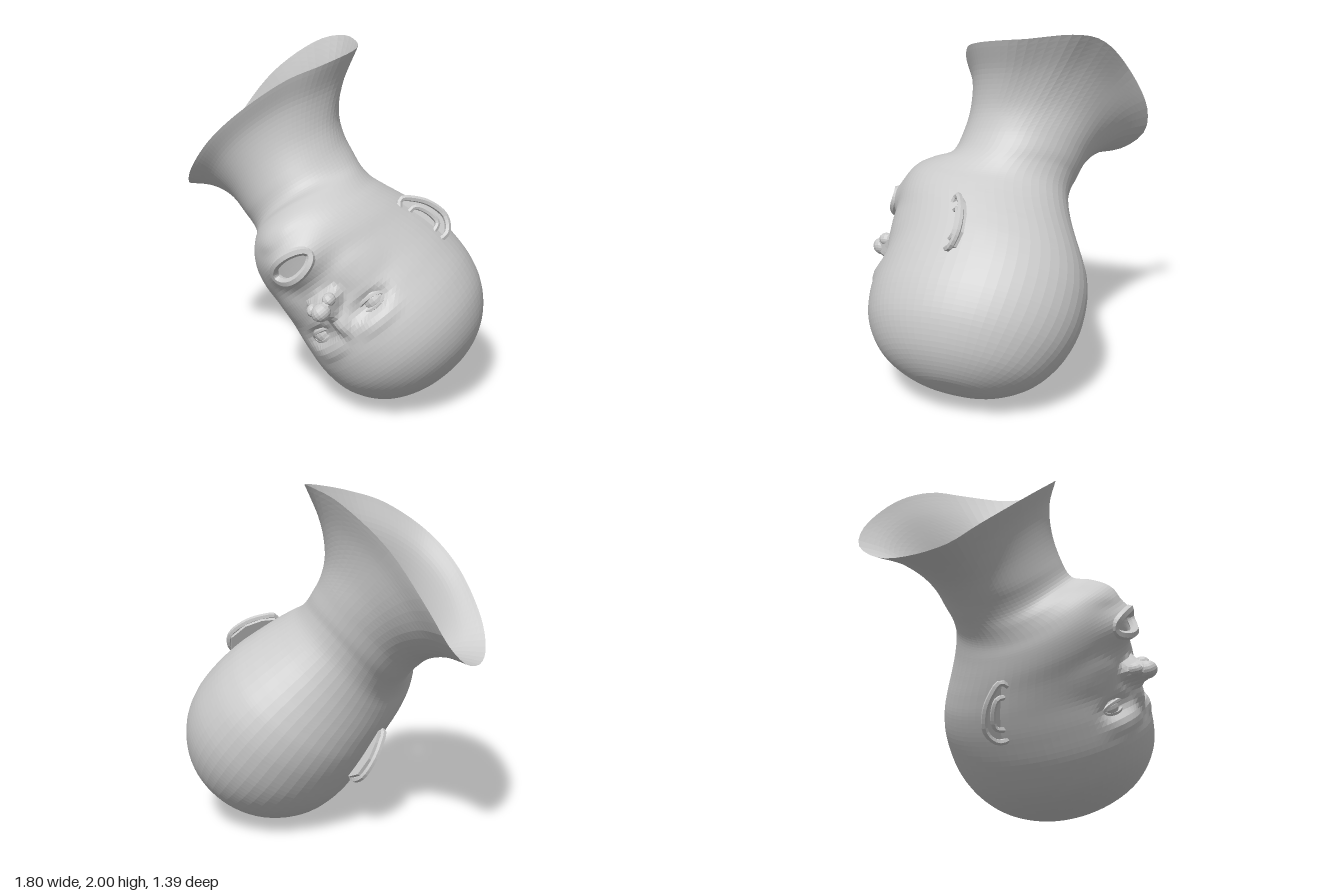
import * as THREE from 'three';

const skin = new THREE.MeshStandardMaterial({ color: 0xcccccc, flatShading: true, side: THREE.DoubleSide });
const V = (x, y, z) => new THREE.Vector3(x, y, z);

function add(parent, name, geometry, x = 0, y = 0, z = 0) {
  const m = new THREE.Mesh(geometry, skin);
  m.name = name;
  m.position.set(x, y, z);
  parent.add(m);
  return m;
}

// Key rings, crown to neck rim: y at front, back, side; z at front, back; half width
const RINGS = [
  [0.325, 0.325, 0.325, -0.04, -0.04, 0],
  [0.295, 0.295, 0.295, 0.19, -0.27, 0.205],
  [0.2, 0.2, 0.2, 0.39, -0.46, 0.365],
  [0.05, 0.05, 0.05, 0.515, -0.585, 0.472],
  [-0.12, -0.12, -0.12, 0.56, -0.65, 0.512],
  [-0.3, -0.3, -0.3, 0.55, -0.66, 0.508],
  [-0.45, -0.44, -0.45, 0.53, -0.63, 0.488],
  [-0.6, -0.55, -0.57, 0.54, -0.58, 0.462],
  [-0.75, -0.66, -0.67, 0.56, -0.52, 0.438],
  [-0.87, -0.78, -0.76, 0.55, -0.46, 0.408],
  [-0.96, -0.9, -0.83, 0.5, -0.42, 0.378],
  [-1.01, -1.0, -0.9, 0.41, -0.42, 0.36],
  [-1.04, -1.08, -0.98, 0.3, -0.44, 0.352],
  [-1.15, -1.2, -1.1, 0.26, -0.47, 0.365],
  [-1.3, -1.35, -1.22, 0.24, -0.52, 0.415],
  [-1.45, -1.52, -1.34, 0.25, -0.6, 0.525],
  [-1.57, -1.65, -1.44, 0.3, -0.69, 0.68],
];

// Uneven rim of the neck in upright model space, starting at the throat
const RIM = [
  [-0.4, 1.69, 0.3], [-0.6, 1.51, 0.25], [-0.8, 1.27, 0.05], [-0.87, 1.15, -0.1], [-0.9, 1.11, -0.3],
  [-0.88, 1.15, -0.5], [-0.83, 1.28, -0.66], [-0.74, 1.45, -0.7], [-0.5, 1.74, -0.64], [-0.2, 1.95, -0.56],
  [-0.02, 2.0, -0.46], [0.12, 1.985, -0.23], [0.12, 1.97, -0.1], [0, 1.92, 0.1], [-0.17, 1.85, 0.22],
];

// Face relief: x, y, spread x, spread y, push forward (mirrored when x > 0)
const RELIEF = [
  [0, -0.468, 0.06, 0.06, 0.125], [0, -0.37, 0.045, 0.1, 0.04],
  [0.065, -0.49, 0.04, 0.04, 0.06], [0.18, -0.335, 0.1, 0.055, -0.04],
  [0.17, -0.24, 0.12, 0.05, 0.015], [0.24, -0.53, 0.12, 0.1, 0.015],
  [0, -0.75, 0.17, 0.11, 0.06], [0, -0.93, 0.13, 0.06, 0.02],
];

// Flat-topped bumps
function relief(x, y) {
  let d = 0;
  for (const [bx, by, sx, sy, h] of RELIEF)
    d += h * Math.exp(-((((Math.abs(x) - bx) / sx) ** 2 + ((y - by) / sy) ** 2) ** 1.6));
  return d;
}

// Skull, face and hollow flared neck as one loft with an open mouth
function headGeometry(toLocal) {
  const N = 80, rows = (RINGS.length - 1) * 6;
  const heights = new THREE.CatmullRomCurve3(RINGS.map(r => V(r[0], r[1], r[2])), false, 'catmullrom');
  const spans = new THREE.CatmullRomCurve3(RINGS.map(r => V(r[3], r[4], r[5])), false, 'catmullrom');
  const rim = new THREE.CatmullRomCurve3(RIM.map(p => V(...p).applyMatrix4(toLocal)), true);
  const angle = j => (j / N) * Math.PI * 2 - 0.5 * Math.sin((j / N) * Math.PI * 2);
  const ringPoint = (v, t) => {
    const h = heights.getPoint(v), s = spans.getPoint(v), c = Math.cos(t);
    return V(s.z * Math.sin(t),
      h.z + ((h.x + h.y) / 2 - h.z) * c * c + ((h.x - h.y) / 2) * c,
      (s.x + s.y) / 2 + ((s.x - s.y) / 2) * c);
  };
  // How far the plain last ring has to move to meet the rim
  const rimShift = Array.from({ length: N }, (_, j) =>
    rim.getPointAt(angle(j) / (Math.PI * 2)).sub(ringPoint(1, angle(j))));
  const pos = [], index = [];
  for (let r = 0; r <= rows; r++) {
    const flare = THREE.MathUtils.clamp((r / rows - 0.8) / 0.2, 0, 1) ** 1.6;
    for (let j = 0; j < N; j++) {
      const p = ringPoint(r / rows, angle(j)).addScaledVector(rimShift[j], flare);
      if (p.z > 0.2 && p.y > -1.01) p.z += relief(p.x, p.y) * Math.min(1, (p.z - 0.2) / 0.15);
      pos.push(p.x, p.y, p.z);
    }
  }
  const inMouth = i => pos[i * 3 + 2] > 0.3 &&
    (pos[i * 3] / 0.12) ** 2 + ((pos[i * 3 + 1] + 0.75) / 0.058) ** 2 < 1;
  for (let r = 0; r < rows; r++) for (let j = 0; j < N; j++) {
    const k = (j + 1) % N, a = r * N + j, b = a + N, c = (r + 1) * N + k, d = r * N + k;
    if ([a, b, c, d].some(inMouth)) continue;
    if (r > 0) index.push(a, b, d);
    index.push(b, c, d);
  }
  const g = new THREE.BufferGeometry();
  g.setAttribute('position', new THREE.Float32BufferAttribute(pos, 3));
  g.setIndex(index);
  g.computeVertexNormals();
  return g;
}

const tube = (pts, radius, closed, seg = 32) =>
  new THREE.TubeGeometry(new THREE.CatmullRomCurve3(pts, closed), seg, radius, 6, closed);

// Closed oval loop lying on a curved face: z falls off with x squared
function ovalLoop(rx, ry, bend) {
  return Array.from({ length: 16 }, (_, i) => {
    const t = (i / 16) * Math.PI * 2, x = rx * Math.cos(t);
    return V(x, ry * Math.sin(t), -bend * x * x);
  });
}

// Ear for the +x side; its plane runs back and outwards
function buildEar() {
  const ear = new THREE.Group();
  ear.name = 'ear';
  const outline = [[-0.06, 0.1], [0, 0.155], [0.08, 0.155], [0.13, 0.08], [0.105, -0.03],
    [0.045, -0.11], [-0.02, -0.155], [-0.065, -0.11], [-0.065, 0]];
  add(ear, 'earHelix', tube(outline.map(([x, y]) => V(x, y, 0.005)), 0.018, true));
  const shape = new THREE.Shape();
  shape.setFromPoints(outline.map(([x, y]) => new THREE.Vector2(x, y)));
  add(ear, 'earShell', new THREE.ExtrudeGeometry(shape, { depth: 0.02, bevelEnabled: false }), 0, 0, -0.03);
  add(ear, 'earInnerFold', tube([V(0, 0.11, -0.005), V(0.07, 0.08, 0), V(0.065, 0, 0),
    V(0.02, -0.07, 0), V(-0.03, -0.07, -0.005)], 0.016, false, 16));
  add(ear, 'earTragus', new THREE.SphereGeometry(0.022, 8, 6), -0.04, -0.02, 0);
  ear.rotation.y = Math.PI / 2 - 0.75;
  ear.position.set(0.475, -0.485, -0.035);
  return ear;
}

export function createModel() {
  // Upside down, leaning sideways with a slight yaw
  const head = new THREE.Group();
  head.name = 'head';
  head.rotation.order = 'ZYX';
  head.rotation.set(0, 0.1, -2.447);
  head.position.set(0.482, 0.388, 0);
  head.updateMatrix();

  add(head, 'headAndNeck', headGeometry(head.matrix.clone().invert()));
  add(head, 'lips', tube(ovalLoop(0.125, 0.066, 3), 0.025, true, 40), 0, -0.75, 0.61);
  const tip = add(head, 'noseTip', new THREE.SphereGeometry(0.055, 14, 10), 0, -0.468, 0.64);
  tip.scale.set(1, 0.9, 1);

  // Eyes, lids, nostril wings and ears, mirrored
  for (const side of [1, -1]) {
    const half = new THREE.Group();
    half.name = side > 0 ? 'rightFeatures' : 'leftFeatures';
    half.scale.x = side;
    add(half, 'eyeball', new THREE.SphereGeometry(0.07, 16, 12), 0.18, -0.335, 0.42);
    const lids = add(half, 'eyelids', tube(ovalLoop(0.08, 0.03, 4), 0.013, true), 0.18, -0.335, 0.48);
    lids.rotation.y = 0.3;
    const wing = add(half, 'nostrilWing', new THREE.SphereGeometry(0.036, 10, 8), 0.058, -0.494, 0.59);
    wing.scale.z = 1.3;
    half.add(buildEar());
    head.add(half);
  }

  const model = new THREE.Group();
  model.name = 'invertedHead';
  model.add(head);
  return model;
}
